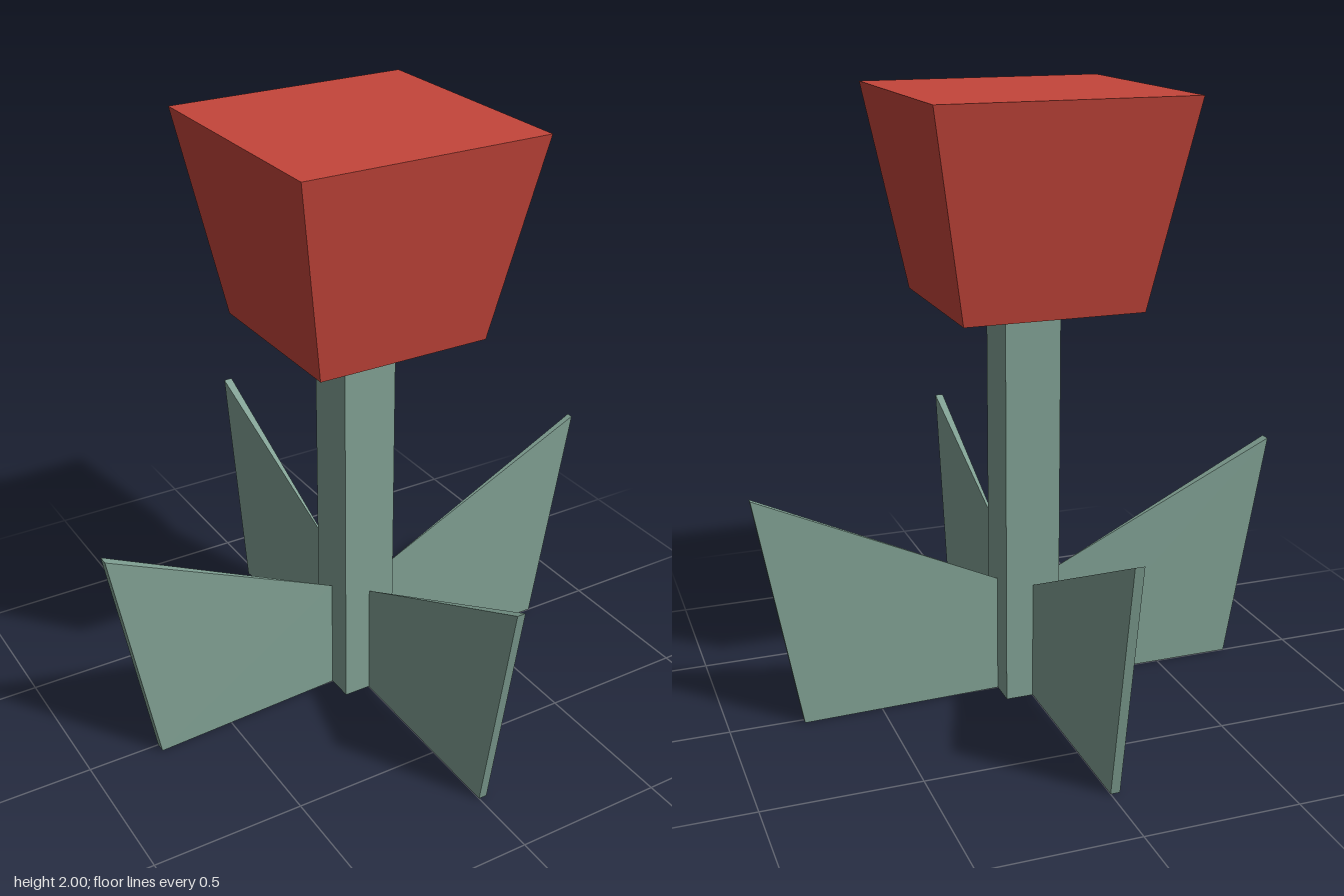
import * as THREE from 'three';

const RED = new THREE.MeshStandardMaterial({ color: 0xc4453a, flatShading: true });
const GREEN = new THREE.MeshStandardMaterial({ color: 0x7f9f92, flatShading: true });

// Unit box whose corners are moved by rule(x, y, z), each input being 0 or 1
function shapedBox(name, material, rule) {
  const geometry = new THREE.BoxGeometry(1, 1, 1);
  const p = geometry.attributes.position;
  for (let i = 0; i < p.count; i++) {
    p.setXYZ(i, ...rule(p.getX(i) + 0.5, p.getY(i) + 0.5, p.getZ(i) + 0.5));
  }
  geometry.computeVertexNormals();
  const mesh = new THREE.Mesh(geometry, material);
  mesh.name = name;
  return mesh;
}

export function createModel() {
  const model = new THREE.Group();
  model.name = 'flower';
  const stemHalf = 0.092, stemTop = 1.34;

  // Square stem
  const stem = new THREE.Mesh(new THREE.BoxGeometry(stemHalf * 2, stemTop, stemHalf * 2), GREEN);
  stem.position.y = stemTop / 2;
  stem.name = 'stem';
  model.add(stem);

  // Blossom, wider at the top
  model.add(shapedBox('blossom', RED, (x, y, z) => {
    const half = y ? 0.41 : 0.292;
    return [(x * 2 - 1) * half, y ? 2 : stemTop, (z * 2 - 1) * half];
  }));

  // Four leaves: thin wedges, sharp at the stem and thicker at the outer edge
  const leaves = [['leftLeaf', 0.022], ['backLeaf', 0.03], ['rightLeaf', 0.035], ['frontLeaf', 0.028]];
  leaves.forEach(([name, thickness], i) => {
    const leaf = shapedBox(name, GREEN, (x, y, z) => [
      x ? (y ? 0.9 : 0.76) : stemHalf,
      y ? (x ? 0.78 : 0.4) : 0,
      (z - 1) * x * thickness,
    ]);
    leaf.rotation.y = i * Math.PI / 2;
    model.add(leaf);
  });
  return model;
}
